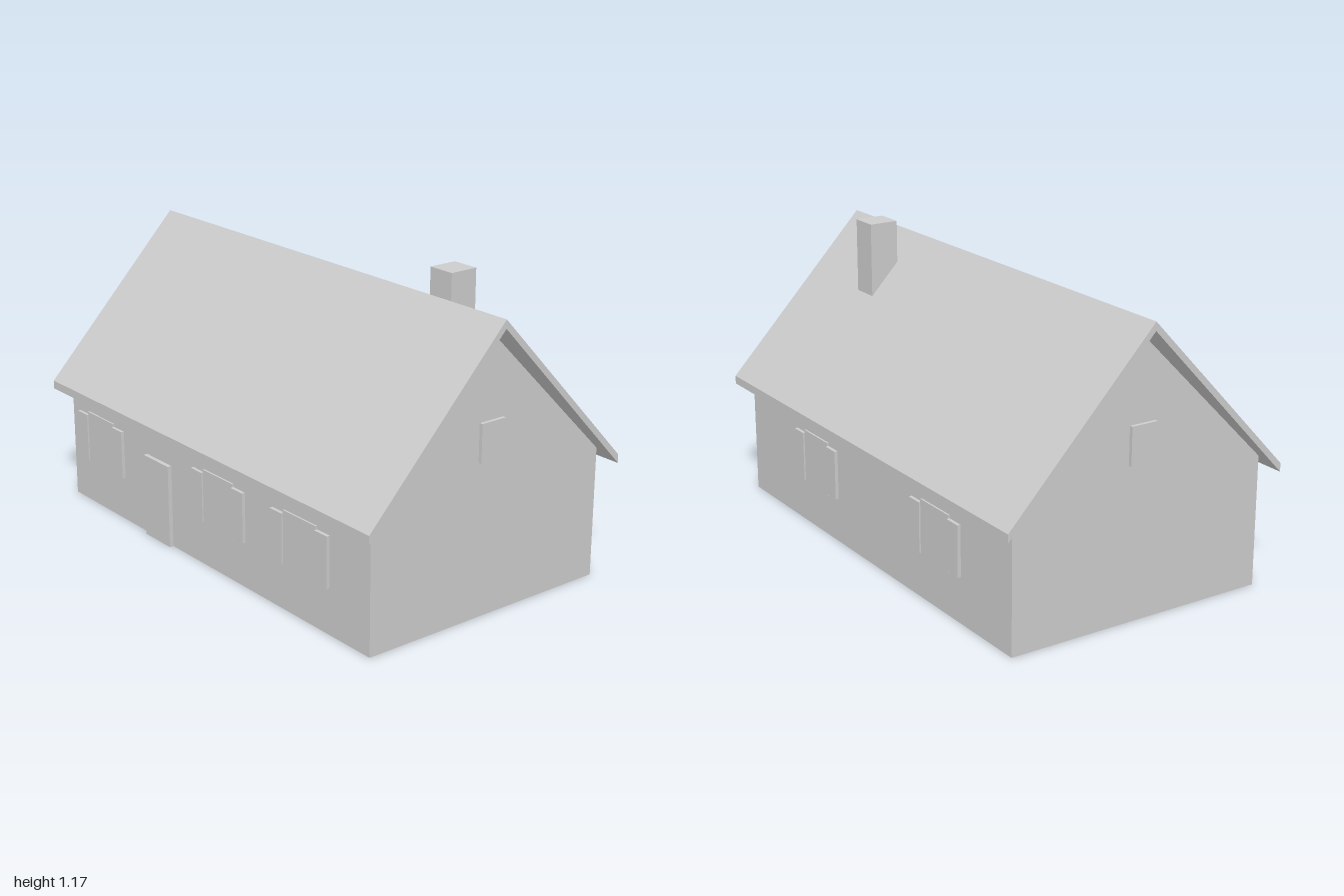
import * as THREE from 'three';

export function createModel() {
  const house = new THREE.Group();
  house.name = 'house';
  const grey = new THREE.MeshStandardMaterial({ color: 0xcccccc });
  grey.name = 'plain grey';

  // Box given by its low and high limits on each axis
  function box(name, [x0, x1], [y0, y1], [z0, z1], parent = house) {
    const mesh = new THREE.Mesh(new THREE.BoxGeometry(x1 - x0, y1 - y0, z1 - z0), grey);
    mesh.position.set((x0 + x1) / 2, (y0 + y1) / 2, (z0 + z1) / 2);
    mesh.name = name;
    parent.add(mesh);
  }

  // Outline of [z, y] points stretched along x
  function prism(name, points, halfLength) {
    const shape = new THREE.Shape(points.map(([z, y]) => new THREE.Vector2(-z, y)));
    const geometry = new THREE.ExtrudeGeometry(shape, { depth: halfLength * 2, bevelEnabled: false });
    geometry.translate(0, 0, -halfLength).rotateY(Math.PI / 2);
    const mesh = new THREE.Mesh(geometry, grey);
    mesh.name = name;
    house.add(mesh);
  }

  // Gabled walls and the folded roof slab
  prism('walls', [[0.535, 0], [0.535, 0.505], [0, 1.04], [-0.535, 0.505], [-0.535, 0]], 0.943);
  prism('roof', [[0.59, 0.45], [0.59, 0.483], [0, 1.106], [-0.59, 0.483], [-0.59, 0.45], [0, 1.073]], 1);

  box('chimney', [0.508, 0.62], [0.853, 1.167], [-0.215, -0.098]);
  box('door', [-0.4, -0.235], [0, 0.332], [0.53, 0.552]);

  // Window pane with a shutter on each side; side is 1 for front, -1 for back
  function shutteredWindow(x, side) {
    const group = new THREE.Group();
    group.name = side > 0 ? 'frontWindow' : 'backWindow';
    box('pane', [-0.092, 0.092], [0.168, 0.388], [0.53, 0.542], group);
    for (const s of [-1, 1]) {
      const inner = s * 0.092, outer = s * 0.162;
      box('shutter', [Math.min(inner, outer), Math.max(inner, outer)], [0.179, 0.375], [0.53, 0.548], group);
    }
    group.position.x = x;
    if (side < 0) group.rotation.y = Math.PI;
    house.add(group);
  }
  for (const x of [-0.728, 0.077, 0.565]) shutteredWindow(x, 1);
  for (const x of [-0.467, 0.404]) shutteredWindow(x, -1);

  // Small attic window in each gable
  box('leftAtticWindow', [0.93, 0.957], [0.59, 0.735], [-0.055, 0.055]);
  box('rightAtticWindow', [-0.957, -0.93], [0.59, 0.735], [-0.055, 0.055]);

  return house;
}
